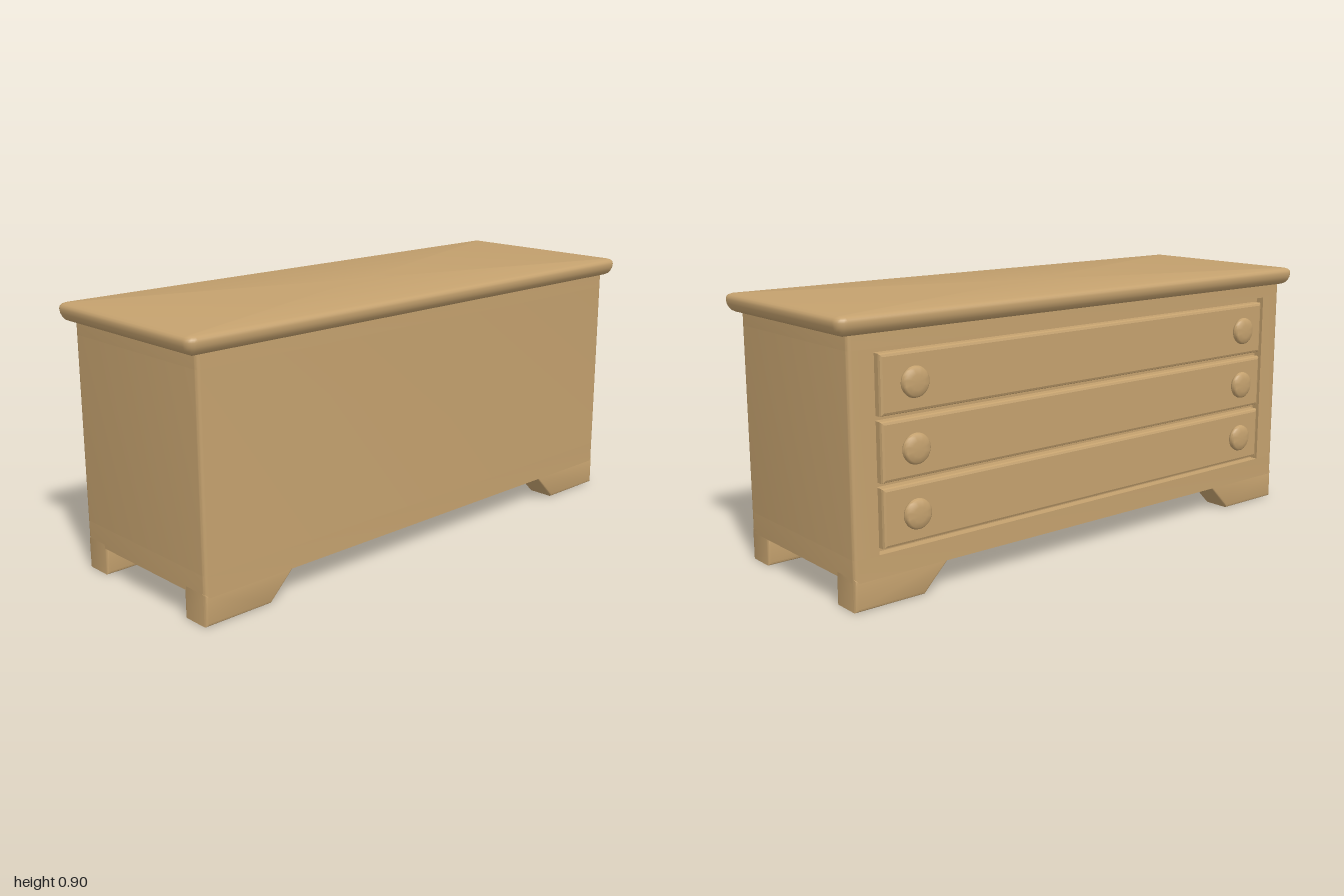
import * as THREE from 'three';
import { toCreasedNormals } from 'three/addons/utils/BufferGeometryUtils.js';

const wood = new THREE.MeshStandardMaterial({ color: 0xc4a16e });
const HX = 0.953, HZ = 0.323;          // half width and depth of the carcass
const DRAWER_X = 0.85, OPEN_X = 0.865; // half widths of drawers and their opening
const RECESS = 0.03;

function part(parent, name, geometry, crease = 0.6) {
  const mesh = new THREE.Mesh(toCreasedNormals(geometry, crease), wood);
  mesh.name = name;
  parent.add(mesh);
  return mesh;
}

// Counter-clockwise rounded rectangle, starting at the +x +y corner
function roundedRect(hx, hy, r, steps = 5) {
  const pts = [];
  [[1, 1], [-1, 1], [-1, -1], [1, -1]].forEach(([sx, sy], k) => {
    for (let i = 0; i <= steps; i++) {
      const a = (k + i / steps) * Math.PI / 2;
      pts.push(new THREE.Vector2(sx * (hx - r) + r * Math.cos(a), sy * (hy - r) + r * Math.sin(a)));
    }
  });
  return pts;
}

// Horizontal slab of the carcass; the recessed one is notched at the back
function slab(y0, y1, recessed) {
  const pts = roundedRect(HX, HZ, 0.014);
  if (recessed) {
    const notch = [[OPEN_X, HZ], [OPEN_X, HZ - RECESS], [-OPEN_X, HZ - RECESS], [-OPEN_X, HZ]];
    pts.splice(6, 0, ...notch.map(([x, y]) => new THREE.Vector2(x, y)));
  }
  return new THREE.ExtrudeGeometry(new THREE.Shape(pts), { depth: y1 - y0, bevelEnabled: false })
    .rotateX(-Math.PI / 2).translate(0, y0, 0);
}

// Stack of rounded rectangles following a moulded edge profile [inset, y]
function mouldedTop(hx, hz, profile) {
  const pos = [], idx = [];
  const rings = profile.map(([d, y]) => {
    const ring = roundedRect(hx - d, hz - d, Math.max(0.032 - d, 0.003));
    ring.forEach(p => pos.push(p.x, y, -p.y));
    return ring;
  });
  const n = rings[0].length, last = (rings.length - 1) * n, c = rings.length * n;
  pos.push(0, profile[0][1], 0, 0, profile[profile.length - 1][1], 0);
  for (let j = 0; j < n; j++) {
    const k = (j + 1) % n;
    for (let i = 0; i < rings.length - 1; i++) {
      const a = i * n + j, b = i * n + k;
      idx.push(a, b, b + n, a, b + n, a + n);
    }
    idx.push(c, k, j, c + 1, last + j, last + k);
  }
  const g = new THREE.BufferGeometry();
  g.setAttribute('position', new THREE.Float32BufferAttribute(pos, 3));
  g.setIndex(idx);
  return g;
}

// Extrusion whose bevel stays inside the outline, running from z0 to z1
function bevelled(pts, z0, z1, b, segments) {
  const shape = new THREE.Shape(pts.map(([x, y]) => new THREE.Vector2(x, y)));
  return new THREE.ExtrudeGeometry(shape, {
    depth: z1 - z0 - 2 * b, bevelThickness: b, bevelSize: b, bevelOffset: -b, bevelSegments: segments,
  }).translate(0, 0, z0 + b);
}

export function createModel() {
  const chest = new THREE.Group();
  chest.name = 'drawerChest';

  // Carcass with the drawer opening at the back
  const carcass = new THREE.Group();
  carcass.name = 'carcass';
  chest.add(carcass);
  part(carcass, 'lowerRail', slab(0.092, 0.165, false));
  part(carcass, 'drawerCase', slab(0.165, 0.793, true));
  part(carcass, 'upperRail', slab(0.793, 0.845, false));

  // Lid with a rounded overhanging edge
  part(chest, 'lid', mouldedTop(1, 0.355, [
    [0.03, 0.838], [0.017, 0.844], [0.008, 0.854], [0.002, 0.866],
    [0, 0.88], [0.002, 0.888], [0.008, 0.894], [0.02, 0.898],
  ]), 0.9);

  // Four bracket feet with sloping inner ends
  for (const sx of [1, -1]) {
    for (const sz of [1, -1]) {
      const outline = [[HX, 0], [HX, 0.105], [0.598, 0.105], [0.7, 0]].map(([x, y]) => [sx * x, y]);
      if (sx < 0) outline.reverse();
      const z0 = sz > 0 ? 0.215 : -HZ;
      part(chest, 'foot', bevelled(outline, z0, z0 + HZ - 0.215, 0.01, 3));
    }
  }

  // Three drawers, each with two round knobs
  const knobProfile = [[0.042, 0], [0.047, 0.005], [0.049, 0.012], [0.047, 0.019], [0.041, 0.024], [0.024, 0.027], [0, 0.028]]
    .map(([r, h]) => new THREE.Vector2(r, h));
  for (const y of [0.273, 0.477, 0.681]) {
    const drawer = new THREE.Group();
    drawer.name = 'drawer';
    drawer.position.y = y;
    chest.add(drawer);
    const h = 0.094;
    part(drawer, 'drawerFront',
      bevelled([[-DRAWER_X, -h], [DRAWER_X, -h], [DRAWER_X, h], [-DRAWER_X, h]], -0.329, -0.28, 0.01, 2), 0.3);
    for (const x of [-0.735, 0.735]) {
      const knob = part(drawer, 'knob', new THREE.LatheGeometry(knobProfile, 28), 0.8);
      knob.rotation.x = -Math.PI / 2;
      knob.position.set(x, 0, -0.329);
    }
  }
  return chest;
}
